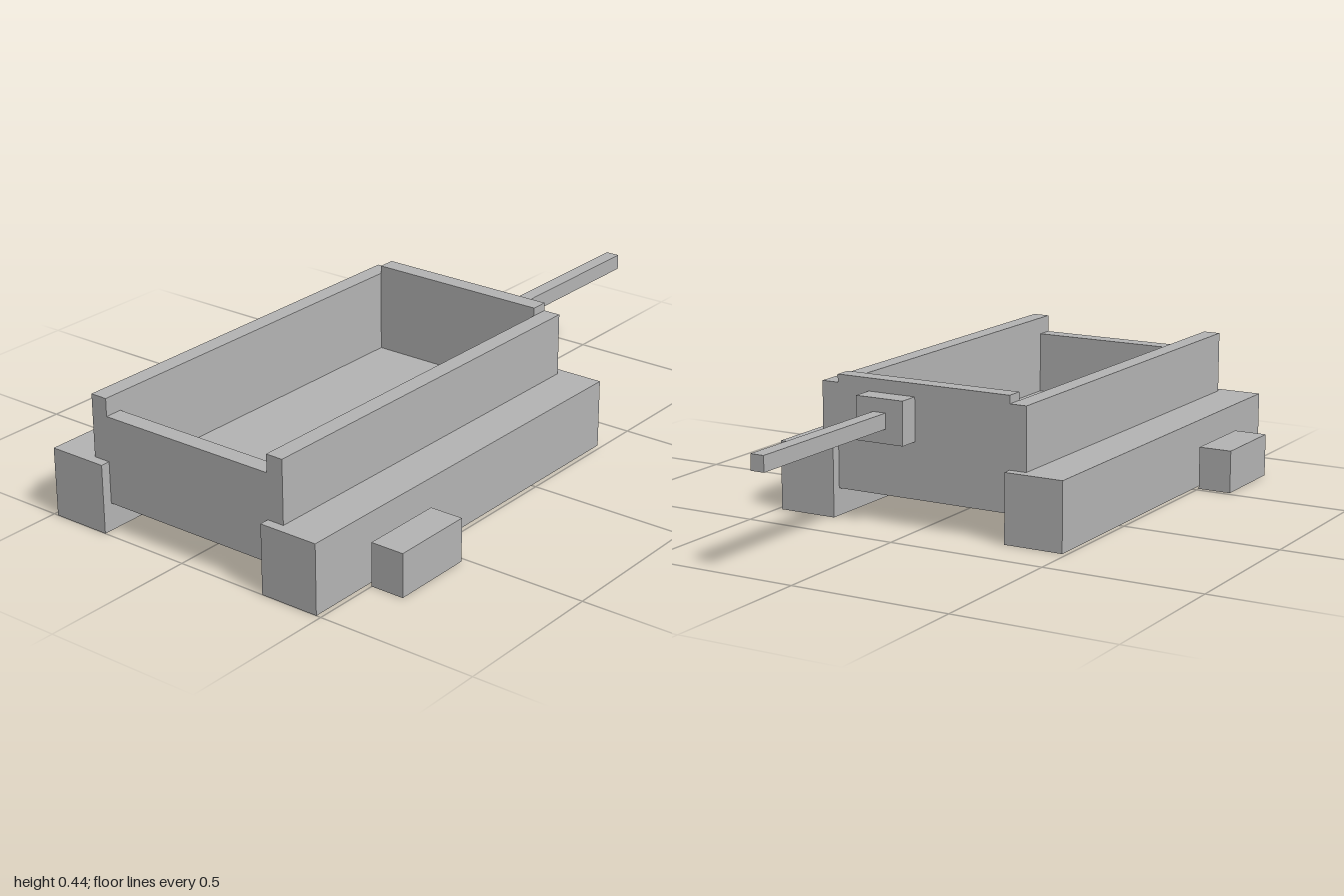
import * as THREE from 'three';

export function createModel() {
  const model = new THREE.Group();
  model.name = 'openCart';
  const grey = new THREE.MeshStandardMaterial({ color: 0xb4b4b4 });
  grey.name = 'plain grey';

  // Box given by its extents along each axis
  function block(name, [x0, x1], [y0, y1], [z0, z1]) {
    const mesh = new THREE.Mesh(new THREE.BoxGeometry(x1 - x0, y1 - y0, z1 - z0), grey);
    mesh.position.set((x0 + x1) / 2, (y0 + y1) / 2, (z0 + z1) / 2);
    mesh.name = name;
    model.add(mesh);
  }

  // Mirrored pair of boxes on both sides of x = 0
  function pair(name, [x0, x1], y, z) {
    block(name + 'Left', [x0, x1], y, z);
    block(name + 'Right', [-x1, -x0], y, z);
  }

  const inner = 0.295, outer = 0.35;
  const back = -0.325, front = 0.97, wall = 0.055;
  const bottom = 0.085, floorTop = 0.155;

  // Open tub: floor, low front wall, raised back wall, side walls
  block('floor', [-inner, inner], [bottom, floorTop], [back + wall, front - wall]);
  block('frontWall', [-inner, inner], [bottom, 0.355], [front - wall, front]);
  block('backWall', [-inner, inner], [bottom, 0.435], [back, back + wall]);
  pair('sideWall', [inner, outer], [0.215, 0.41], [back, front]);

  // Long side runners and the small blocks beside them
  pair('runner', [inner, 0.485], [0, 0.215], [-0.355, 1]);
  pair('sideBlock', [0.5, 0.607], [0, 0.135], [0.515, 0.782]);

  // Off-centre mount and rod at the back
  block('rodMount', [0.025, 0.185], [0.26, 0.395], [-0.393, back]);
  block('rod', [0.083, 0.127], [0.305, 0.353], [-1, -0.393]);

  return model;
}
